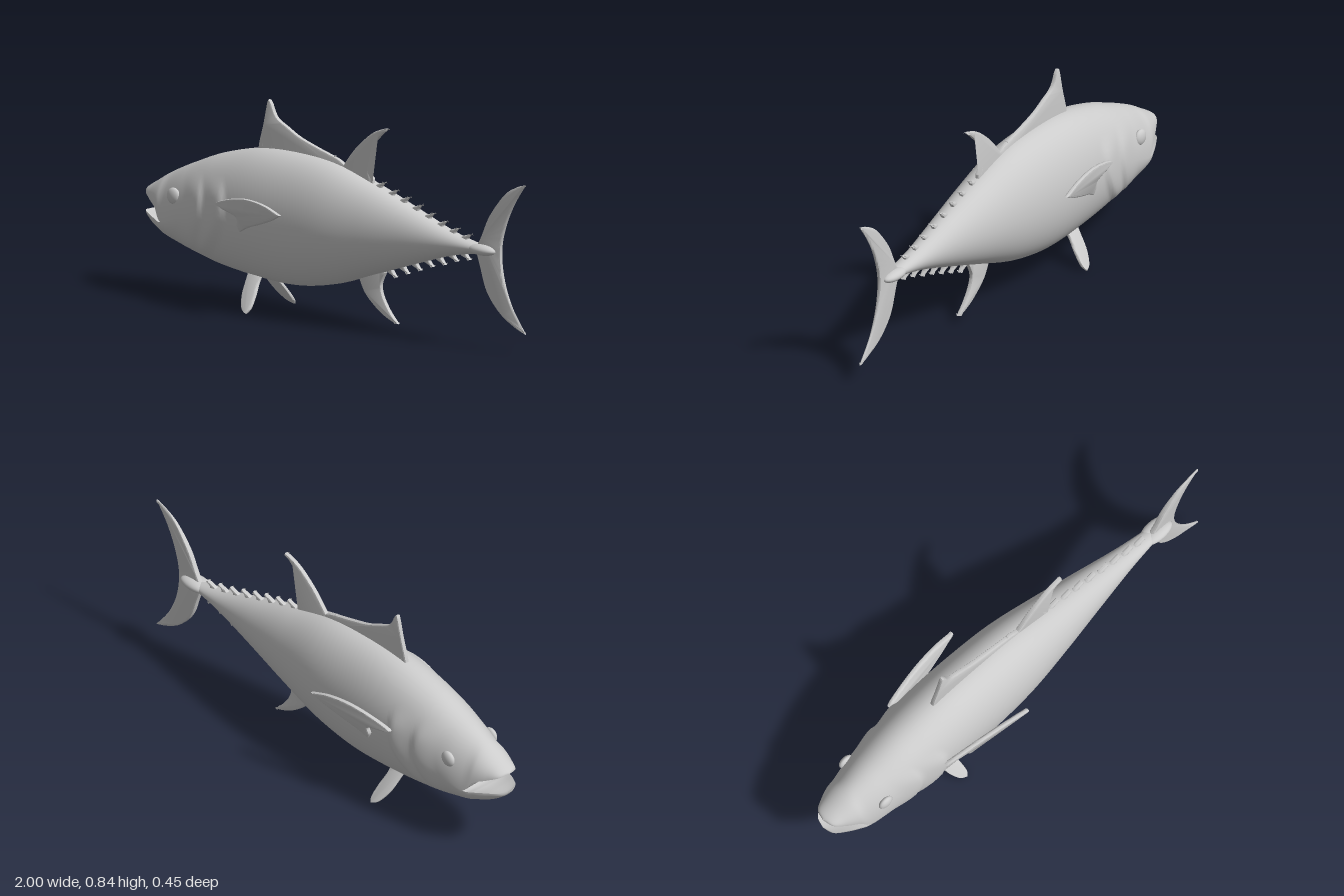
import * as THREE from 'three';
import { mergeVertices, toCreasedNormals } from 'three/addons/utils/BufferGeometryUtils.js';

const mat = new THREE.MeshStandardMaterial({ color: 0xcccccc });
const matDouble = new THREE.MeshStandardMaterial({ color: 0xcccccc, side: THREE.DoubleSide });

// Body stations from snout to tail: x, top, bottom, half width, upper lip / mid line, lower lip / mid line
const STATIONS = [
  [-1, .405, .315, 0, .402, .318], [-.985, .418, .295, .045, .395, .32], [-.94, .445, .262, .075, .375, .315],
  [-.89, .475, .24, .098, .35, .305], [-.845, .498, .222, .113, .3, .3], [-.75, .54, .19, .13, .33, .33],
  [-.6, .597, .152, .145, .37, .37], [-.4, .643, .128, .156, .385, .385], [-.2, .652, .122, .156, .385, .385],
  [0, .635, .155, .146, .39, .39], [.2, .58, .22, .118, .395, .395], [.4, .515, .287, .084, .4, .4],
  [.6, .45, .35, .05, .4, .4], [.75, .418, .38, .03, .4, .4], [.82, .41, .39, .02, .4, .4], [.845, .4, .4, 0, .4, .4],
];
const RINGS = 225, ARC = 32, CORNER = 60; // ring CORNER is the corner of the mouth

function makeSections() {
  const curve = (k) => new THREE.CatmullRomCurve3(
    STATIONS.map((s) => new THREE.Vector3(s[k], s[k + 1], s[k + 2])), false, 'catmullrom', 0.5);
  const a = curve(0), b = curve(3), out = [];
  for (let i = 0; i <= RINGS; i++) {
    const p = a.getPoint(i / RINGS), q = b.getPoint(i / RINGS);
    const mid = (q.y + q.z) / 2, open = i < CORNER;
    out.push({ x: p.x, top: p.y, bot: p.z, w: Math.max(q.x, 0), up: open ? q.y : mid, low: open ? q.z : mid });
  }
  return out;
}

// Raised plate that swells towards its curved rear edge, then drops
function plate(x, y, edgeX, midY, bend, height) {
  const s = x - (edgeX - bend * (y - midY) ** 2);
  const swell = THREE.MathUtils.smoothstep(s, -.11, -.01) * (1 - THREE.MathUtils.smoothstep(s, -.005, .022));
  return height * swell * THREE.MathUtils.smoothstep(y, .17, .24) * (1 - THREE.MathUtils.smoothstep(y, .44, .53));
}
const gillBump = (x, y) => plate(x, y, -.485, .42, 3, .011) + plate(x, y, -.61, .4, 2.4, .008);

function bodyGeometry(sections) {
  const pos = [], idx = [];
  for (const upper of [true, false]) {
    const base = pos.length / 3;
    sections.forEach((s) => {
      for (let j = 0; j <= ARC; j++) {
        const a = (j / ARC + (upper ? 0 : 1)) * Math.PI, sn = Math.sin(a);
        const y = upper ? s.up + (s.top - s.up) * sn : s.low + (s.low - s.bot) * sn;
        pos.push(s.x, y, (s.w + gillBump(s.x, y)) * Math.cos(a));
      }
    });
    for (let i = 0; i < RINGS; i++) for (let j = 0; j < ARC; j++) {
      const p = base + i * (ARC + 1) + j, q = p + ARC + 1;
      idx.push(p, q, p + 1, q, q + 1, p + 1);
    }
  }
  return surface(pos, idx);
}

function surface(pos, idx) {
  let g = new THREE.BufferGeometry();
  g.setAttribute('position', new THREE.Float32BufferAttribute(pos, 3));
  g.setIndex(idx);
  g = mergeVertices(g, 1e-5);
  g.computeVertexNormals();
  return g;
}

// Inner face of a jaw, hollowed slightly between the lips
function palateGeometry(sections, key, hollow) {
  const pos = [], idx = [], n = 10;
  for (let i = 0; i <= CORNER; i++) for (let j = 0; j <= n; j++) {
    const s = sections[i], u = j / n * 2 - 1;
    const depth = hollow * (1 - u * u) * Math.sin(Math.PI * i / CORNER);
    pos.push(s.x, s[key] + depth, s.w * u);
  }
  for (let i = 0; i < CORNER; i++) for (let j = 0; j < n; j++) {
    const p = i * (n + 1) + j, q = p + n + 1;
    idx.push(p, q, p + 1, q, q + 1, p + 1);
  }
  return surface(pos, idx);
}

// Fin plate with rounded rim; runs of points are smoothed, runs meet at sharp corners
function finGeometry(runs, thick) {
  const shape = new THREE.Shape();
  shape.moveTo(...runs[0][0]);
  runs.forEach((run, i) => shape.splineThru(
    (i ? run : run.slice(1)).map((p) => new THREE.Vector2(...p))));
  const b = thick * .35;
  const g = new THREE.ExtrudeGeometry(shape, {
    depth: thick - 2 * b, bevelThickness: b, bevelSize: b, bevelOffset: -b, bevelSegments: 2, curveSegments: 5,
  });
  g.translate(0, 0, b - thick / 2);
  return toCreasedNormals(g, .7);
}

function bend(g, rule) {
  const p = g.attributes.position, v = new THREE.Vector3();
  for (let i = 0; i < p.count; i++) {
    rule(v.fromBufferAttribute(p, i));
    p.setXYZ(i, v.x, v.y, v.z);
  }
  return toCreasedNormals(g, .7);
}

export function createModel() {
  const model = new THREE.Group();
  const sections = makeSections();
  const add = (name, geometry, material = mat, parent = model) => {
    const m = new THREE.Mesh(geometry, material);
    m.name = name;
    parent.add(m);
    return m;
  };

  add('body', bodyGeometry(sections));
  add('upperMouth', palateGeometry(sections, 'up', .012), matDouble);
  add('lowerMouth', palateGeometry(sections, 'low', -.012), matDouble);

  // Fins on the centre line
  add('frontDorsalFin', finGeometry([
    [[-.425, .62], [-.415, .67], [-.395, .74], [-.375, .825], [-.366, .84], [-.352, .825]],
    [[-.325, .775], [-.27, .745], [-.2, .712], [-.1, .682], [0, .655], [.04, .635]],
    [[.04, .59]], [[-.2, .6]]], .02));
  add('rearDorsalFin', finGeometry([
    [[.02, .61], [.04, .645], [.1, .715], [.18, .78], [.24, .806], [.268, .81]],
    [[.225, .773], [.18, .725], [.162, .68], [.166, .635], [.19, .6]], [[.19, .54]]], .02));
  add('analFin', finGeometry([
    [[.1, .23], [.115, .195], [.15, .135], [.22, .078], [.28, .048], [.32, .038]],
    [[.275, .085], [.24, .14], [.232, .185], [.255, .235]], [[.22, .29]]], .02));
  add('tailFin', bend(finGeometry([
    [[.735, .4], [.765, .45], [.81, .54], [.885, .632], [.95, .672], [.998, .687]],
    [[.94, .605], [.893, .51], [.868, .41], [.88, .3], [.925, .19], [.998, .09]],
    [[.94, .11], [.865, .155], [.795, .235], [.76, .33], [.735, .4]]], .024),
  (v) => { v.z *= 1 - .6 * THREE.MathUtils.smoothstep(v.x, .8, .95); }));

  // Spines of the front dorsal fin
  const spines = new THREE.Group();
  spines.name = 'dorsalSpines';
  model.add(spines);
  for (let i = 0; i < 9; i++) {
    const u = i / 8, x = -.395 + .36 * u;
    const h = .055 + .12 * (1 - u) ** 2.2;
    const spine = add('dorsalSpine', new THREE.CylinderGeometry(.003, .006, h, 8), mat, spines);
    spine.position.set(x + .008, .635 + h / 2 - .025 * u, 0);
    spine.rotation.z = -.12 - .25 * u;
    spine.scale.z = 1.9;
  }

  // Rows of small swept finlets above and below the tail stalk
  const finlet = finGeometry([
    [[-.028, -.02], [-.01, .006], [.012, .022], [.03, .032]], [[.02, .012], [.016, -.004], [.022, -.025]]], .02);
  const finletRow = (name, key, start, count, sign) => {
    const row = new THREE.Group();
    row.name = name;
    model.add(row);
    for (let i = 0; i < count; i++) {
      const x = start + i * .0655, k = sections.findIndex((s) => s.x >= x);
      const m = add('finlet', finlet, mat, row);
      m.position.set(x, sections[k][key], 0);
      m.rotation.z = -sign * .25;
      m.scale.set(1, sign * (1 - .02 * i), 1);
    }
  };
  finletRow('upperFinlets', 'top', .215, 8, 1);
  finletRow('lowerFinlets', 'bot', .275, 7, -1);

  // Paired parts, built on the +z side and mirrored
  const side = new THREE.Group();
  side.name = 'nearSide';
  add('pectoralFin', bend(finGeometry([
    [[-.5, .43], [-.47, .446], [-.39, .468], [-.3, .48], [-.2, .472], [-.108, .443]],
    [[-.17, .412], [-.25, .383], [-.32, .36], [-.372, .335]],
    [[-.384, .36], [-.38, .388], [-.4, .4], [-.46, .412]]], .02),
  (v) => { v.z += .148 + .13 * (v.x + .48) + .2 * (v.y - .335); }), mat, side);
  add('pelvicFin', bend(finGeometry([
    [[-.45, .16], [-.44, .12], [-.425, .065], [-.395, .02], [-.362, .004]],
    [[-.352, .025], [-.358, .07], [-.372, .12], [-.37, .16]]], .018),
  (v) => { v.z += .045 + .75 * (.13 - v.y); }), mat, side);
  const eye = add('eye', new THREE.SphereGeometry(.033, 28, 18), mat, side);
  eye.position.set(-.772, .415, .115);
  eye.scale.z = .5;
  const keel = add('tailKeel', new THREE.SphereGeometry(1, 28, 16), mat, side);
  keel.position.set(.775, .4, .012);
  keel.scale.set(.07, .022, .031);
  const far = side.clone();
  far.name = 'farSide';
  far.scale.z = -1;
  model.add(side, far);

  return model;
}
